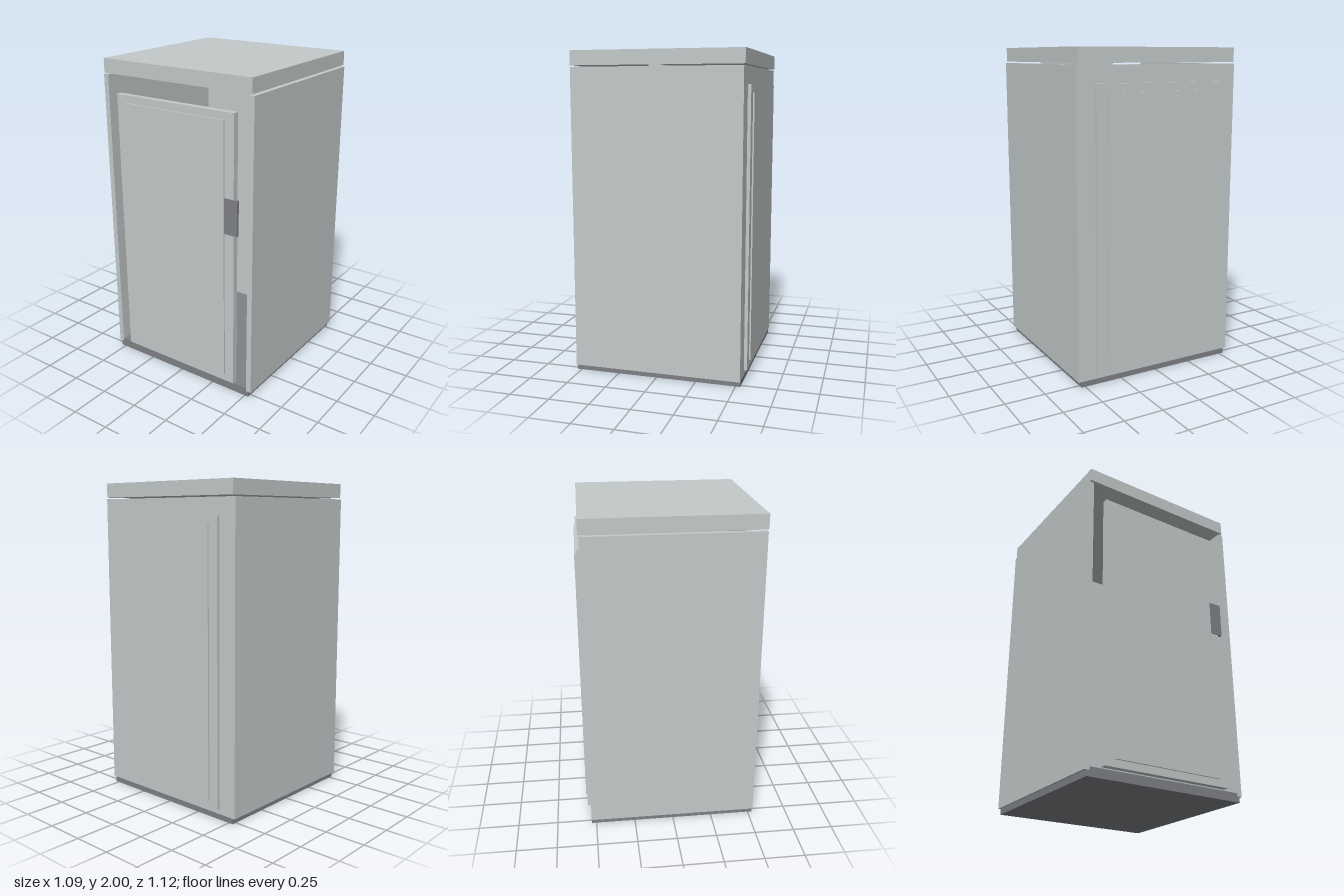
import * as THREE from 'three';

export function createModel() {
  const group = new THREE.Group();
  const shell = new THREE.MeshStandardMaterial({ color: 0xc3c9c9 });
  shell.name = 'pale grey';
  const trim = new THREE.MeshStandardMaterial({ color: 0x7e8085 });
  trim.name = 'dark grey';

  // Box given by its lower and upper corner
  function box(name, material, [x0, y0, z0], [x1, y1, z1]) {
    const geometry = new THREE.BoxGeometry(x1 - x0, y1 - y0, z1 - z0);
    const mesh = new THREE.Mesh(geometry, material);
    mesh.position.set((x0 + x1) / 2, (y0 + y1) / 2, (z0 + z1) / 2);
    mesh.name = name;
    group.add(mesh);
  }

  // Base and lid, with a narrow gap under the lid
  box('base', trim, [-0.53, 0, -0.53], [0.525, 0.055, 0.527]);
  box('lid', shell, [-0.537, 1.911, -0.537], [0.533, 2, 0.533]);

  // Open-fronted carcass
  box('rightSide', shell, [-0.547, 0.035, -0.531], [-0.513, 1.902, 0.528]);
  box('leftSide', shell, [0.509, 0.035, -0.531], [0.543, 1.902, 0.528]);
  box('backWall', shell, [-0.513, 0.035, -0.531], [0.509, 1.902, -0.495]);

  // Crossbar hanging under the lid
  box('crossbar', shell, [0.04, 1.885, -0.045], [0.5, 1.911, 0.047]);

  // Door and matching back panel, each with a raised field
  box('door', shell, [-0.43, 0.068, 0.507], [0.424, 1.797, 0.546]);
  box('doorField', shell, [-0.365, 0.113, 0.54], [0.361, 1.75, 0.556]);
  box('backPanel', shell, [-0.43, 0.068, -0.551], [0.424, 1.797, -0.525]);
  box('backField', shell, [-0.365, 0.113, -0.56], [0.361, 1.75, -0.545]);

  // Handle wrapping the door edge
  box('handle', trim, [0.355, 1.075, 0.534], [0.451, 1.295, 0.552]);

  return group;
}
